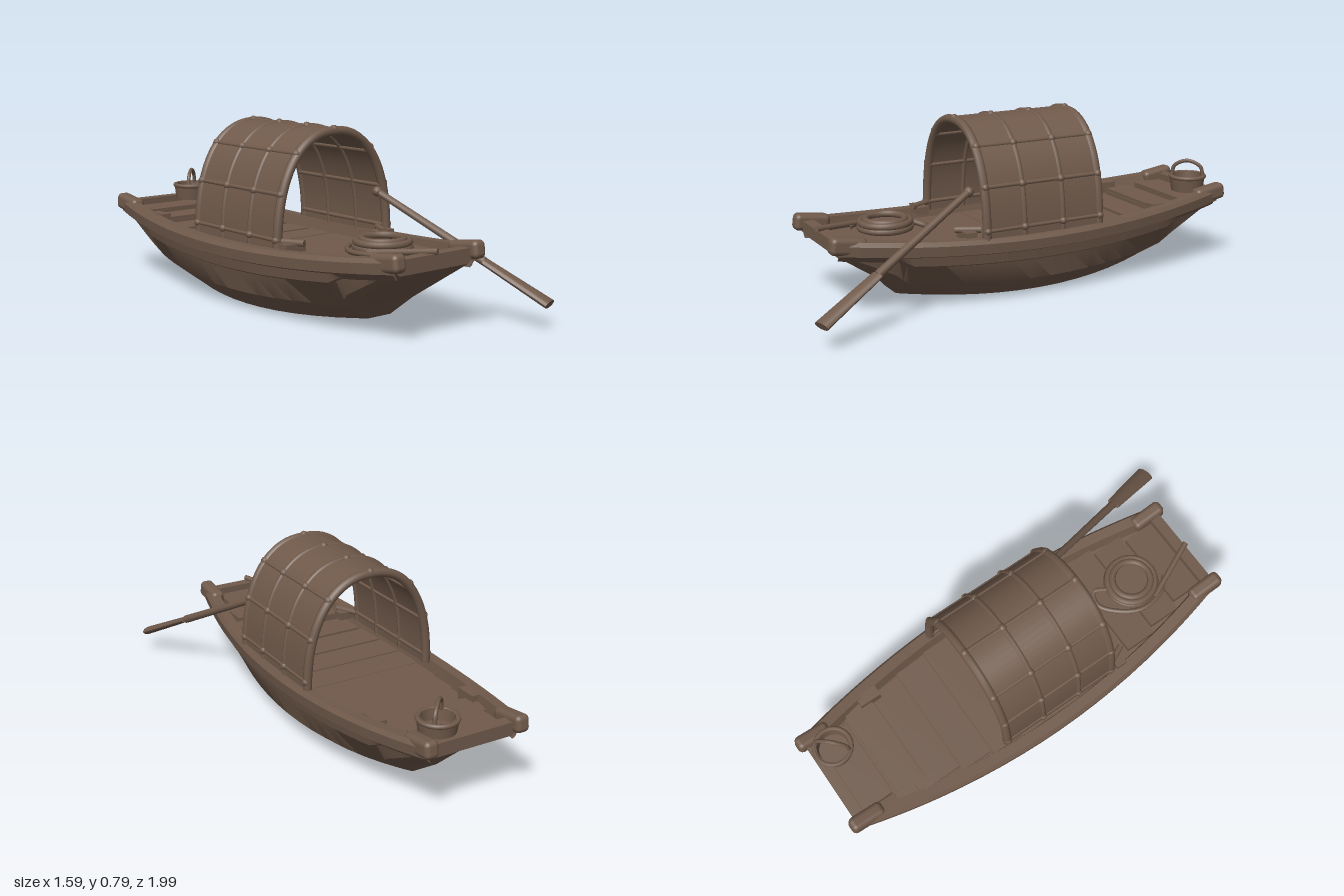
import * as THREE from 'three';
import { toCreasedNormals } from 'three/addons/utils/BufferGeometryUtils.js';
import { RoundedBoxGeometry } from 'three/addons/geometries/RoundedBoxGeometry.js';

const V = (x, y, z) => new THREE.Vector3(x, y, z);
const lerp = THREE.MathUtils.lerp;

// Hull lines as functions of the distance z along the boat
const halfWidth = z => 0.235 + 0.125 * (1 - (z / 0.95) ** 2);
const rimY = z => 0.305 + 0.055 * (z / 0.95) ** 2;
const floorY = z => rimY(z) - 0.055;
function keelY(z) {
  const a = Math.abs(z);
  if (a < 0.64) return 0.006 + 0.037 * (a / 0.64) ** 2;
  return a < 0.7 ? lerp(0.043, 0.115, (a - 0.64) / 0.06) : lerp(0.115, 0.285, (a - 0.7) / 0.25);
}
function bottomWidth(z) {
  const a = Math.abs(z);
  if (a < 0.64) return 0.06 + 0.135 * (1 - (a / 0.64) ** 2);
  return a < 0.7 ? lerp(0.06, 0.13, (a - 0.64) / 0.06) : lerp(0.13, 0.185, (a - 0.7) / 0.25);
}

function hullSection(z) {
  const w = halfWidth(z), b = bottomWidth(z), t = rimY(z), k = keelY(z), h = t - k;
  const knuckle = Math.min(k + 0.62 * h, t - 0.085);
  const side = [
    [b, k], [lerp(b, w, 0.6), k + 0.28 * h], [w - 0.04, knuckle - 0.006], [w - 0.03, knuckle],
    [w - 0.02, t - 0.07], [w, t - 0.062], [w + 0.005, t - 0.018], [w - 0.008, t],
    [w - 0.055, t], [w - 0.068, floorY(z)],
  ];
  return [...side, ...side.map(([x, y]) => [-x, y]).reverse()];
}

// Loft of closed cross-sections with capped ends
function loft(stations, section) {
  const rings = stations.map(section), n = rings[0].length, pos = [], idx = [];
  rings.forEach((r, j) => r.forEach(([x, y]) => pos.push(x, y, stations[j])));
  for (let j = 0; j < rings.length - 1; j++) {
    for (let i = 0; i < n; i++) {
      const a = j * n + i, b = j * n + (i + 1) % n;
      idx.push(a, b, b + n, a, b + n, a + n);
    }
  }
  const last = (rings.length - 1) * n;
  const cap = r => THREE.ShapeUtils.triangulateShape(r.map(p => new THREE.Vector2(...p)), []);
  cap(rings[0]).forEach(([a, b, c]) => idx.push(a, c, b));
  cap(rings[rings.length - 1]).forEach(([a, b, c]) => idx.push(a + last, b + last, c + last));
  const g = new THREE.BufferGeometry();
  g.setAttribute('position', new THREE.Float32BufferAttribute(pos, 3));
  g.setIndex(idx);
  return toCreasedNormals(g, 0.6);
}

// Point on the canopy arch: t from 0 (left foot) to 1 (right foot)
function archPoint(t, inset = 0) {
  const a = t * Math.PI, c = Math.cos(a), s = Math.max(0, Math.sin(a));
  return [0.022 + (0.31 - inset) * Math.sign(c) * Math.abs(c) ** 0.87, 0.3 + (0.48 - inset) * s ** 0.87];
}
const ARCH_STEPS = Array.from({ length: 41 }, (_, i) => i / 40);

export function createModel() {
  const wood = new THREE.MeshStandardMaterial({ color: 0x705a4b });
  wood.name = 'brownWood';
  const model = new THREE.Group();
  const boat = new THREE.Group();
  boat.name = 'boat';
  boat.rotation.y = 0.45;
  boat.position.set(-0.15, 0, 0.005);
  model.add(boat);

  const add = (name, geometry, p = [0, 0, 0], parent = boat) => {
    const m = new THREE.Mesh(geometry, wood);
    m.name = name;
    m.position.set(...p);
    parent.add(m);
    return m;
  };
  const box = (name, w, h, d, p) => add(name, new THREE.BoxGeometry(w, h, d), p);
  const tube = (name, pts, r, seg = 32) =>
    add(name, new THREE.TubeGeometry(new THREE.CatmullRomCurve3(pts), seg, r, 8));
  const rod = (name, a, b, r, r2 = r, parent = boat) => {
    const m = add(name, new THREE.CylinderGeometry(r2, r, a.distanceTo(b), 10),
      a.clone().add(b).multiplyScalar(0.5).toArray(), parent);
    m.quaternion.setFromUnitVectors(V(0, 1, 0), b.clone().sub(a).normalize());
    return m;
  };
  const ball = (name, r, p) => add(name, new THREE.SphereGeometry(r, 12, 8), p);
  const ring = (name, r, tubeR, p) => {
    add(name, new THREE.TorusGeometry(r, tubeR, 8, 32), p).rotation.x = Math.PI / 2;
  };

  // Hull
  const half = [0, 0.1, 0.2, 0.3, 0.4, 0.5, 0.58, 0.62, 0.64, 0.67, 0.7, 0.74, 0.8, 0.87, 0.95];
  const stations = [...half.slice(1).map(z => -z).reverse(), ...half];
  add('hull', loft(stations, hullSection));

  // Deck planks, raised at both ends
  for (let i = 0; i < 12; i++) {
    const z = -0.835 + i * 0.152;
    const raise = z > 0.42 || z < -0.75 ? 0.026 : 0.008;
    box('deckPlank', 2 * halfWidth(Math.abs(z) + 0.07) - 0.13, 0.03, 0.144, [0, floorY(z) + raise - 0.013, z]);
  }

  // End beams, rounded rail ends, thwart with its blocks and side cleats
  for (const s of [-1, 1]) {
    box('endBeam', 0.42, 0.05, 0.05, [0, 0.325, s * 0.935]);
    for (const x of [-0.215, 0.215]) {
      const m = add('railEnd', new RoundedBoxGeometry(0.065, 0.075, 0.16, 3, 0.022), [x, 0.334, s * 0.912]);
      m.rotation.x = -s * 0.14;
    }
    box('thwartBlock', 0.05, 0.05, 0.1, [s * 0.235, 0.305, -0.615]);
    box('sideCleat', 0.1, 0.035, 0.05, [s * 0.245, 0.318, 0.385]);
    rod('cleatBar', V(s * 0.27, 0.338, 0.33), V(s * 0.22, 0.338, 0.43), 0.014);
  }
  box('thwart', 0.5, 0.025, 0.13, [0, 0.29, -0.68]);

  // Arched canopy shell
  const outer = ARCH_STEPS.map(t => new THREE.Vector2(...archPoint(t)));
  const inner = ARCH_STEPS.map(t => new THREE.Vector2(...archPoint(t, 0.022))).reverse();
  const shell = new THREE.ExtrudeGeometry(new THREE.Shape([...outer, ...inner]), { depth: 0.56, bevelEnabled: false });
  add('canopy', toCreasedNormals(shell, 0.5), [0, 0, -0.23]);

  // Hoops and lengthwise battens, outside and inside
  const hoopZ = [-0.228, -0.04, 0.15, 0.328];
  hoopZ.forEach((z, i) => {
    const inset = i % 3 ? 0.004 : 0.01;
    tube('canopyHoop', ARCH_STEPS.map(t => V(...archPoint(t, inset), z)), i % 3 ? 0.012 : 0.02, 60);
    if (i % 3) tube('innerHoop', ARCH_STEPS.map(t => V(...archPoint(t, 0.022), z)), 0.01, 60);
  });
  for (const t of [0.02, 0.14, 0.29, 0.5, 0.71, 0.86, 0.98]) {
    const [x, y] = archPoint(t, 0.003), [xi, yi] = archPoint(t, 0.022);
    rod('canopyBatten', V(x, y, -0.24), V(x, y, 0.34), 0.009);
    rod('innerBatten', V(xi, yi, -0.23), V(xi, yi, 0.33), 0.009);
    for (const z of hoopZ) ball('lashing', 0.018, [x, y, z]);
  }

  // Rope coil with a tail and a short pole on the front deck
  add('coilCore', new THREE.CylinderGeometry(0.09, 0.1, 0.03, 24), [0, 0.333, 0.655]);
  [[0.11, 0.333], [0.108, 0.355], [0.086, 0.364]].forEach(([r, y]) => ring('ropeCoil', r, 0.015, [0, y, 0.655]));
  tube('ropeTail', [V(0.03, 0.345, 0.54), V(0.06, 0.325, 0.49), V(0, 0.315, 0.47), V(-0.07, 0.315, 0.52),
    V(-0.13, 0.32, 0.62), V(-0.12, 0.325, 0.73), V(-0.06, 0.33, 0.8)], 0.011);
  rod('shortPole', V(-0.12, 0.33, 0.7), V(0.0, 0.36, 0.965), 0.013);

  // Basket with handle on the back deck
  const basket = [[0, 0], [0.075, 0], [0.085, 0.075], [0.07, 0.075], [0.065, 0.025], [0, 0.025]];
  add('basket', toCreasedNormals(new THREE.LatheGeometry(basket.map(p => new THREE.Vector2(...p)), 24), 0.6),
    [0.11, 0.335, -0.865]);
  ring('basketRim', 0.08, 0.01, [0.11, 0.403, -0.865]);
  tube('basketHandle', [[-0.052, 0.405], [-0.044, 0.45], [0, 0.477], [0.044, 0.45], [0.052, 0.405]]
    .map(([d, y]) => V(0.11 + d, y, -0.865 - d)), 0.009);

  // Oar resting over the left rail
  const top = V(0.22, 0.5, 0.235), tip = V(0.765, 0.11, 0.815);
  const neck = top.clone().lerp(tip, 0.64);
  const oar = new THREE.Group();
  oar.name = 'oar';
  model.add(oar);
  rod('oarShaft', top, neck, 0.015, 0.019, oar);
  add('oarGrip', new THREE.SphereGeometry(0.022, 12, 8), top.toArray(), oar);
  const along = tip.clone().sub(neck).normalize();
  const across = V(along.z, 0, -along.x).normalize();
  const bladeGeo = new THREE.CylinderGeometry(0.041, 0.031, neck.distanceTo(tip), 16);
  bladeGeo.scale(1, 1, 0.45);
  const blade = add('oarBlade', toCreasedNormals(bladeGeo, 0.8), neck.clone().add(tip).multiplyScalar(0.5).toArray(), oar);
  blade.quaternion.setFromRotationMatrix(
    new THREE.Matrix4().makeBasis(across, along, across.clone().cross(along)));
  return model;
}
